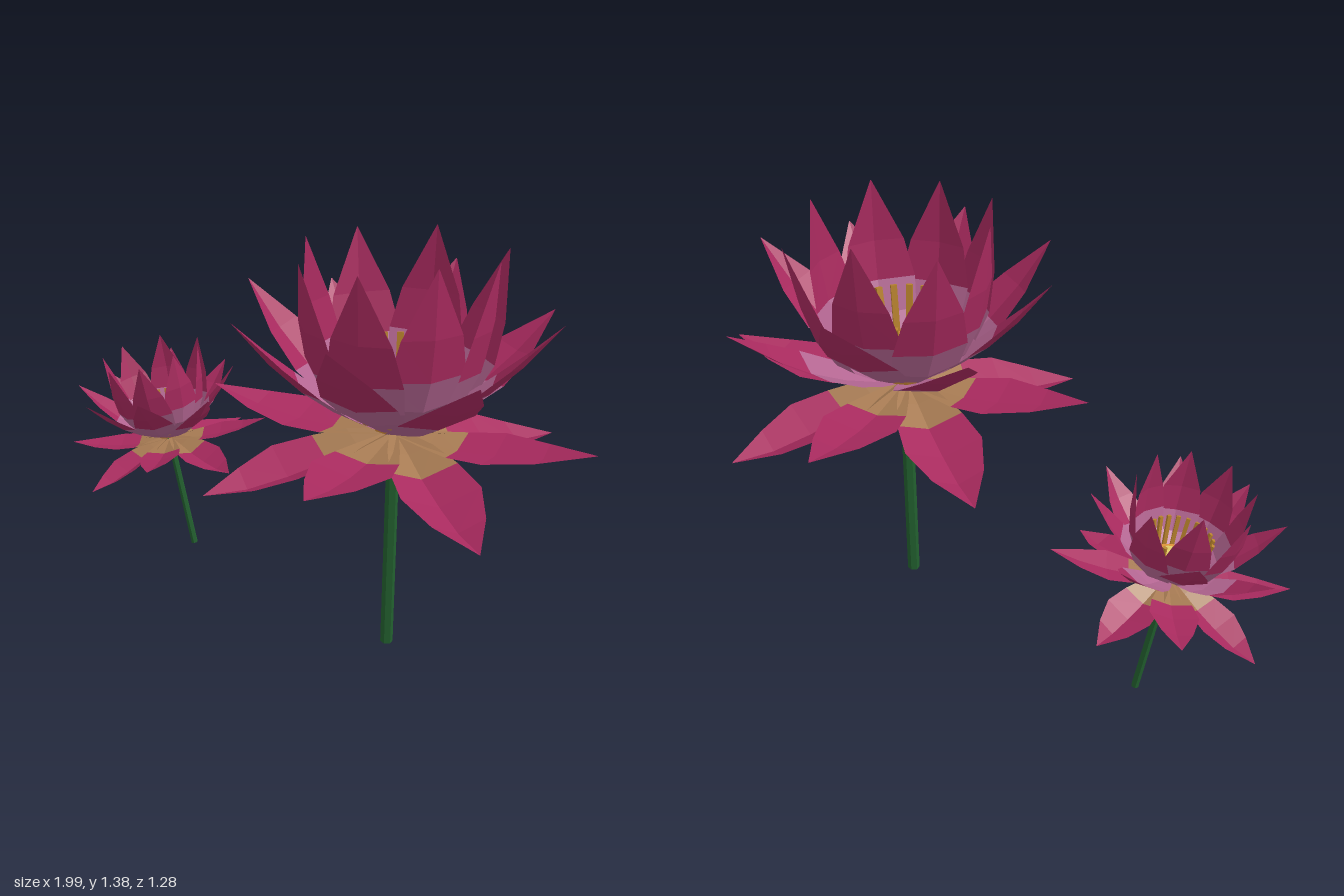
import * as THREE from 'three';
import { mergeGeometries } from 'three/addons/utils/BufferGeometryUtils.js';

const mat = (name, color) => new THREE.MeshStandardMaterial({ name, color, flatShading: true, side: THREE.DoubleSide });

// Cupped strip lofted along rows of [radius, height, halfWidth]; grows toward +x
function petalStrip({ rows, cup }) {
  const pos = [], idx = [];
  rows.forEach(([r, y, w], i) => {
    const a = rows[Math.max(0, i - 1)], b = rows[Math.min(rows.length - 1, i + 1)];
    const len = Math.hypot(b[0] - a[0], b[1] - a[1]);
    const nx = -(b[1] - a[1]) / len, ny = (b[0] - a[0]) / len;   // toward the flower's inside
    for (const s of [-1, 0, 1]) {
      const lift = Math.abs(s) * cup * w;
      pos.push(r + nx * lift, y + ny * lift, s * w);
    }
    if (i > 0) for (let c = 0; c < 2; c++) {
      const p = (i - 1) * 3 + c, q = p + 3;
      idx.push(p, p + 1, q + 1, p, q + 1, q);
    }
  });
  const g = new THREE.BufferGeometry();
  g.setAttribute('position', new THREE.Float32BufferAttribute(pos, 3));
  g.setIndex(idx);
  g.computeVertexNormals();
  return g;
}

// Petal profiles: rows of [radius, height, halfWidth], and how far the edges curl up
const OUTER_UP = { cup: 0.2, rows: [[0.02, 0.765, 0.025], [0.12, 0.755, 0.07], [0.21, 0.748, 0.105], [0.33, 0.755, 0.128], [0.48, 0.778, 0.08], [0.64, 0.82, 0.001]] };
const OUTER_DOWN = { cup: 0.42, rows: [[0.02, 0.77, 0.025], [0.12, 0.74, 0.075], [0.22, 0.702, 0.11], [0.35, 0.668, 0.128], [0.48, 0.645, 0.085], [0.62, 0.645, 0.001]] };
const MIDDLE = { cup: 0.22, rows: [[0.03, 0.775, 0.03], [0.11, 0.815, 0.075], [0.2, 0.87, 0.108], [0.3, 0.95, 0.123], [0.4, 1.055, 0.088], [0.51, 1.2, 0.001]] };
const INNER = { cup: 0.22, rows: [[0.03, 0.785, 0.03], [0.13, 0.835, 0.08], [0.22, 0.91, 0.112], [0.27, 1.015, 0.124], [0.295, 1.15, 0.097], [0.31, 1.36, 0.001]] };

// Eight petals alternating two profiles, split into base and tip colours.
// lean tilts single petals in or out, turn shifts them around the ring.
function petalRing(name, even, odd, split, baseMat, tipMat, lean, turn) {
  const bases = [], tips = [];
  for (let i = 0; i < 8; i++) {
    const whole = petalStrip(i % 2 ? odd : even);
    whole.translate(-0.03, -0.78, 0).rotateZ(lean[i]).translate(0.03, 0.78, 0);
    whole.rotateY(i * Math.PI / 4 + turn[i]);
    const index = Array.from(whole.index.array), cut = split * 12;   // 12 indices per row
    const base = whole.clone();
    base.setIndex(index.slice(0, cut));
    whole.setIndex(index.slice(cut));
    bases.push(base);
    tips.push(whole);
  }
  const ring = new THREE.Group();
  ring.name = name;
  const base = new THREE.Mesh(mergeGeometries(bases), baseMat);
  const tip = new THREE.Mesh(mergeGeometries(tips), tipMat);
  base.name = name + 'Bases';
  tip.name = name + 'Tips';
  ring.add(base, tip);
  return ring;
}

function createFlower(name, m) {
  const flower = new THREE.Group();
  flower.name = name;
  const add = (part, geo, material, y) => {
    const mesh = new THREE.Mesh(geo, material);
    mesh.name = part;
    mesh.position.y = y;
    flower.add(mesh);
  };

  add('stem', new THREE.CylinderGeometry(0.021, 0.021, 0.76, 6), m.green, 0.38);

  // Petal rings, from the spread outer one to the upright inner one
  flower.add(petalRing('outerPetals', OUTER_UP, OUTER_DOWN, 2, m.tan, m.magenta,
    [0, 0, 0, 0, 0, 0, 0, 0.03], [0, 0.14, 0, 0, 0, 0, 0, 0]));
  flower.add(petalRing('middlePetals', MIDDLE, MIDDLE, 3, m.mauve, m.magenta,
    [0, -0.22, 0, -0.19, 0, -0.03, 0, -0.14], [0, 0.14, 0, 0, 0, 0, 0, 0]));
  flower.add(petalRing('innerPetals', INNER, INNER, 3, m.mauve, m.magenta,
    [0, -0.13, 0, -0.07, 0, -0.03, 0, 0.06], [0, 0.09, 0, 0, 0, 0.08, 0, 0]));

  // Seed head with a low domed top
  add('seedHead', new THREE.CylinderGeometry(0.128, 0.07, 0.1, 12), m.orange, 0.84);
  const dome = new THREE.SphereGeometry(0.108, 10, 3, 0, Math.PI * 2, 0, Math.PI / 2);
  add('seedHeadTop', dome.scale(1, 0.22, 1), m.yellow, 0.89);

  // Stamens leaning outward around the seed head
  const stamens = [];
  for (let i = 0; i < 20; i++) {
    const g = new THREE.BoxGeometry(0.016, 0.21, 0.021);
    g.rotateZ(-0.19).translate(0.148, 0.94, 0).rotateY(i * Math.PI / 10);
    stamens.push(g);
  }
  add('stamens', mergeGeometries(stamens), m.gold, 0);
  return flower;
}

export function createModel() {
  const m = {
    magenta: mat('petal magenta', 0xa82a5e),
    mauve: mat('petal mauve', 0xb46692),
    tan: mat('petal base tan', 0xa67a52),
    yellow: mat('seed head yellow', 0xe2cb68),
    orange: mat('seed head orange', 0xd88f38),
    gold: mat('stamen gold', 0xb8822c),
    green: mat('stem green', 0x22602f),
  };
  const model = new THREE.Group();
  model.name = 'waterLilies';

  const large = createFlower('largeFlower', m);
  large.position.set(0.35, 0, 0);

  const small = createFlower('smallFlower', m);
  small.scale.setScalar(0.58);
  small.position.set(-0.58, 0, -0.305);
  small.rotation.set(0.06, 0.36, 0.17, 'XZY');

  model.add(large, small);
  return model;
}
